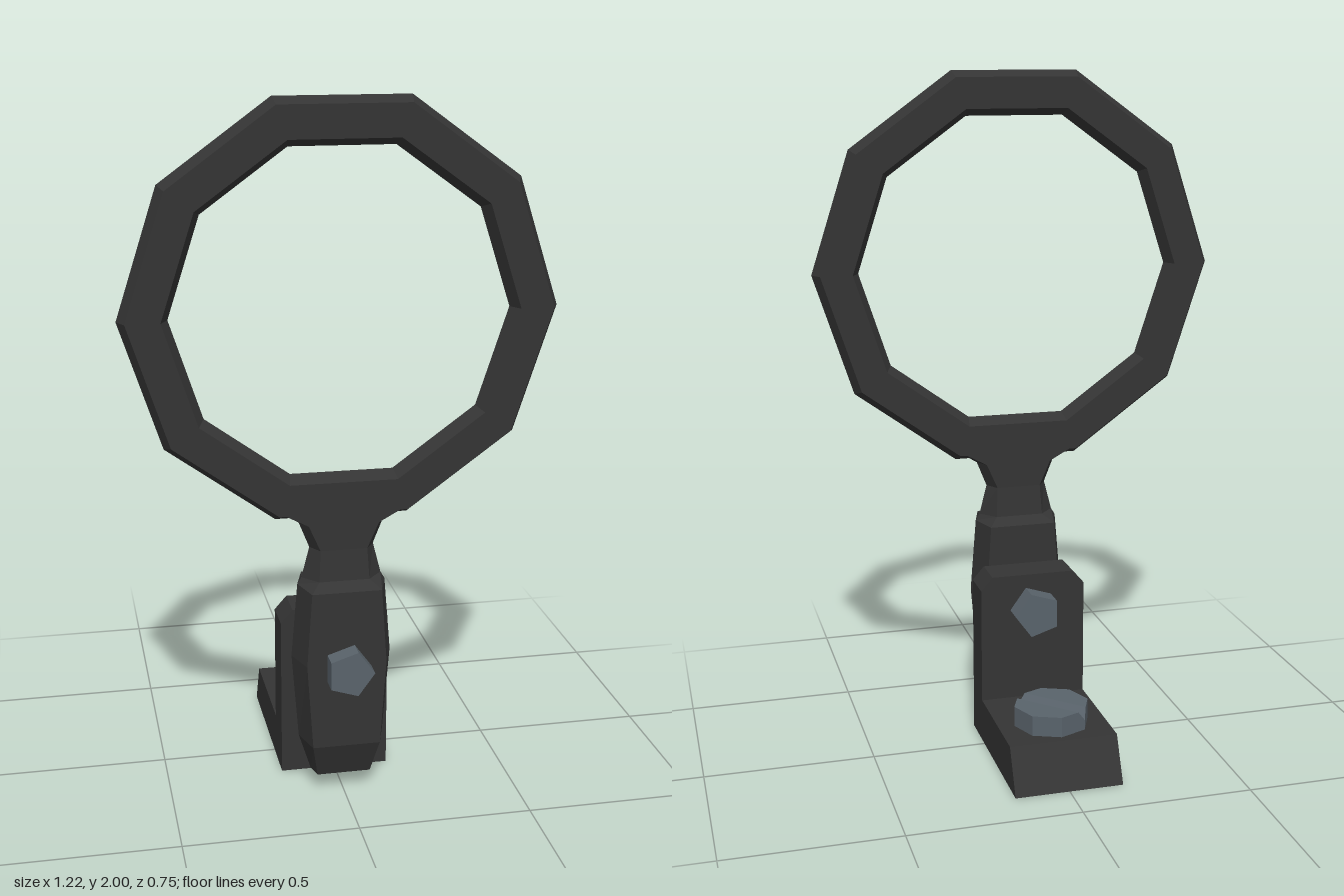
import * as THREE from 'three';
import { ConvexGeometry } from 'three/addons/geometries/ConvexGeometry.js';

const darkFrame = new THREE.MeshStandardMaterial({ color: 0x343434 });
const steel = new THREE.MeshStandardMaterial({ color: 0x59636b });

// Faceted copy of a geometry
function faceted(geometry) {
  const g = geometry.index ? geometry.toNonIndexed() : geometry;
  g.computeVertexNormals();
  return g;
}

// Loft of hexagonal sections: [height, face half width, ridge half width, half depth]
function hexLoft(sections) {
  const positions = [];
  const index = [];
  for (const [y, xf, xm, d] of sections) {
    positions.push(xm, y, 0, xf, y, -d, -xf, y, -d, -xm, y, 0, -xf, y, d, xf, y, d);
  }
  const last = (sections.length - 1) * 6;
  for (let s = 0; s < last; s += 6) {
    for (let i = 0; i < 6; i++) {
      const j = (i + 1) % 6;
      index.push(s + i, s + j, s + 6 + j, s + i, s + 6 + j, s + 6 + i);
    }
  }
  for (let i = 1; i < 5; i++) {
    index.push(0, i + 1, i, last, last + i, last + i + 1);
  }
  const g = new THREE.BufferGeometry();
  g.setAttribute('position', new THREE.Float32BufferAttribute(positions, 3));
  g.setIndex(index);
  return faceted(g);
}

function extrude(points, depth) {
  const shape = new THREE.Shape(points.map(([x, y]) => new THREE.Vector2(x, y)));
  return new THREE.ExtrudeGeometry(shape, { depth, bevelEnabled: false });
}

// One half of an octagonal screw head, sloping down into the slot
function screwHalf(radius, height, slotHalf, slotDepth) {
  const points = [];
  for (let i = 0; i <= 4; i++) {
    const a = (i * Math.PI) / 4;
    const x = radius * Math.cos(a);
    const z = radius * Math.sin(a);
    points.push(new THREE.Vector3(x, 0, z));
    const end = i % 4 === 0;
    if (end) {
      points.push(new THREE.Vector3(x, height - slotDepth, 0));
      const inset = x * (1 - 0.414 * slotHalf / radius);
      points.push(new THREE.Vector3(inset, height, slotHalf));
    } else {
      points.push(new THREE.Vector3(x, height, z));
    }
  }
  return new ConvexGeometry(points);
}

export function createModel() {
  const group = new THREE.Group();
  const add = (name, geometry, material, x = 0, y = 0, z = 0) => {
    const mesh = new THREE.Mesh(geometry, material);
    mesh.name = name;
    mesh.position.set(x, y, z);
    group.add(mesh);
    return mesh;
  };

  // Ten-sided ring with ridged inner and outer rims
  const rim = [[0.495, -0.041], [0.59, -0.041], [0.61, 0], [0.59, 0.041],
    [0.495, 0.041], [0.473, 0], [0.495, -0.041]].map(([r, h]) => new THREE.Vector2(r, h));
  const ring = new THREE.LatheGeometry(rim, 10, Math.PI / 2);
  ring.rotateX(Math.PI / 2);
  add('ring', faceted(ring), darkFrame, 0, 1.42, 0.23);

  // Bulging grip and the flared neck that meets the ring
  add('gripAndNeck', hexLoft([
    [0.055, 0.078, 0.09, 0.047],
    [0.165, 0.098, 0.125, 0.09],
    [0.42, 0.115, 0.145, 0.09],
    [0.64, 0.1, 0.127, 0.09],
    [0.66, 0.072, 0.115, 0.05],
    [0.75, 0.067, 0.092, 0.041],
    [0.825, 0.1, 0.122, 0.041],
    [0.866, 0.175, 0.188, 0.041],
  ]), darkFrame, 0, 0, 0.23);

  // Bracket upright with chamfered top corners
  add('bracketUpright', extrude([[-0.16, 0], [0.16, 0], [0.16, 0.48],
    [0.125, 0.52], [-0.125, 0.52], [-0.16, 0.48]], 0.11), darkFrame, 0, 0, 0.026);

  // Bracket foot with a sloped rear end
  const foot = extrude([[-0.026, 0], [0.372, 0], [0.31, 0.13], [-0.026, 0.13]], 0.32);
  foot.rotateY(Math.PI / 2);
  add('bracketFoot', foot, darkFrame, -0.16, 0, 0);

  // Pentagonal pivot bolt through grip and upright
  const bolt = new THREE.CylinderGeometry(0.07, 0.07, 0.415, 5, 1, false, Math.PI / 2);
  bolt.rotateX(Math.PI / 2);
  add('pivotBolt', faceted(bolt), steel, 0, 0.412, 0.1675);

  // Slotted mounting screw
  for (const turn of [0, Math.PI]) {
    const half = add('mountingScrewHalf', screwHalf(0.112, 0.06, 0.022, 0.03), steel, 0, 0.13, -0.177);
    half.rotation.y = turn - Math.PI / 4;
  }

  return group;
}
